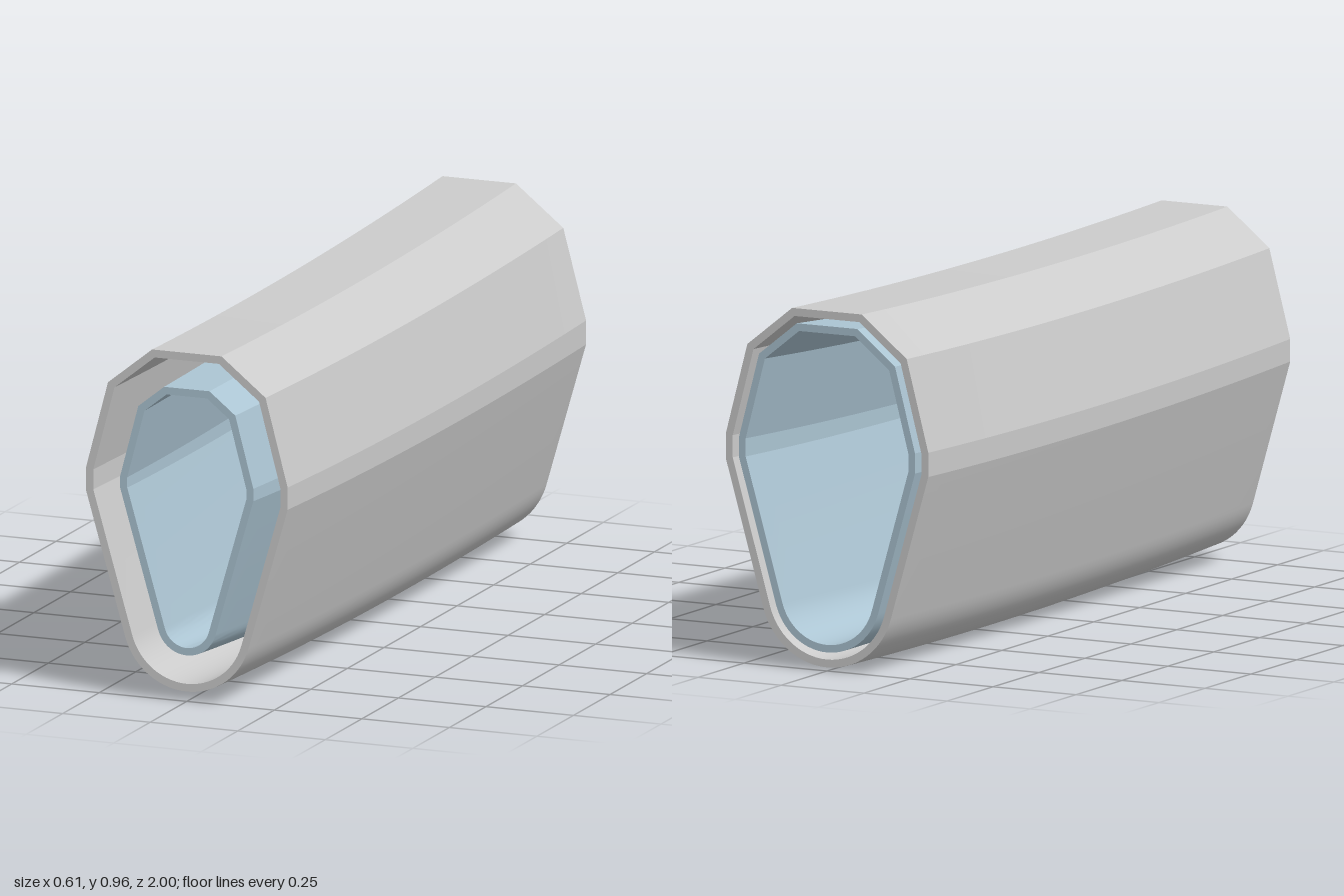
import * as THREE from 'three';
import { toCreasedNormals } from 'three/addons/utils/BufferGeometryUtils.js';

const STEPS = 24; // stations along the length

// Closed counter-clockwise section: round keel, slanted flanks, faceted top
function section() {
  const half = [];
  const n = 14, from = -Math.PI / 2, to = THREE.MathUtils.degToRad(-16);
  for (let i = 0; i <= n; i++) {
    const a = from + (to - from) * i / n;
    half.push([0.2 * Math.cos(a), 0.21 + 0.2 * Math.sin(a)]);
  }
  half[0][0] = 0;
  half.push([0.305, 0.545], [0.305, 0.61], [0.24, 0.855], [0.105, 0.963]);
  const mirrored = half.slice(1).reverse().map(([x, y]) => [-x, y]);
  return [...half, ...mirrored].map(([x, y]) => new THREE.Vector2(x, y));
}

// Mitre direction at each corner, so a section can be inset evenly
function insetDirections(pts) {
  const normal = (a, b) => {
    const d = b.clone().sub(a).normalize();
    return new THREE.Vector2(-d.y, d.x);
  };
  return pts.map((p, i) => {
    const n1 = normal(pts[(i + pts.length - 1) % pts.length], p);
    const n2 = normal(p, pts[(i + 1) % pts.length]);
    return n1.clone().add(n2).divideScalar(1 + n1.dot(n2));
  });
}

// Hollow sleeve: inset changes evenly from front to back, centre line sags by dip
function sleeve(name, insetFront, insetBack, wall, dip, color) {
  const pts = section(), dirs = insetDirections(pts), m = pts.length;
  const rows = [];
  for (let i = 0; i <= STEPS; i++) rows.push([1 - 2 * i / STEPS, 0]);
  for (let i = STEPS; i >= 0; i--) rows.push([1 - 2 * i / STEPS, wall]);

  const position = [], index = [];
  rows.forEach(([z, extra], r) => {
    const inset = THREE.MathUtils.lerp(insetBack, insetFront, (z + 1) / 2) + extra;
    const sag = dip * (1 - z * z);
    const next = (r + 1) % rows.length;
    pts.forEach((p, j) => {
      position.push(p.x + dirs[j].x * inset, p.y + dirs[j].y * inset - sag, z);
      const k = (j + 1) % m;
      const a = r * m + j, b = next * m + j, c = next * m + k, d = r * m + k;
      index.push(a, b, c, a, c, d);
    });
  });

  const geometry = new THREE.BufferGeometry();
  geometry.setAttribute('position', new THREE.Float32BufferAttribute(position, 3));
  geometry.setIndex(index);
  const mesh = new THREE.Mesh(
    toCreasedNormals(geometry, THREE.MathUtils.degToRad(11)),
    new THREE.MeshStandardMaterial({ color })
  );
  mesh.name = name;
  return mesh;
}

export function createModel() {
  const group = new THREE.Group();
  group.name = 'doubleSleeve';
  // Outer shell, slightly narrower at the front
  group.add(sleeve('outerShell', 0.017, 0, 0.021, 0.017, 0xcccccc));
  // Inner liner, tapering strongly towards the front
  group.add(sleeve('innerLiner', 0.115, 0.04, 0.02, 0.02, 0xacc5d3));
  return group;
}
